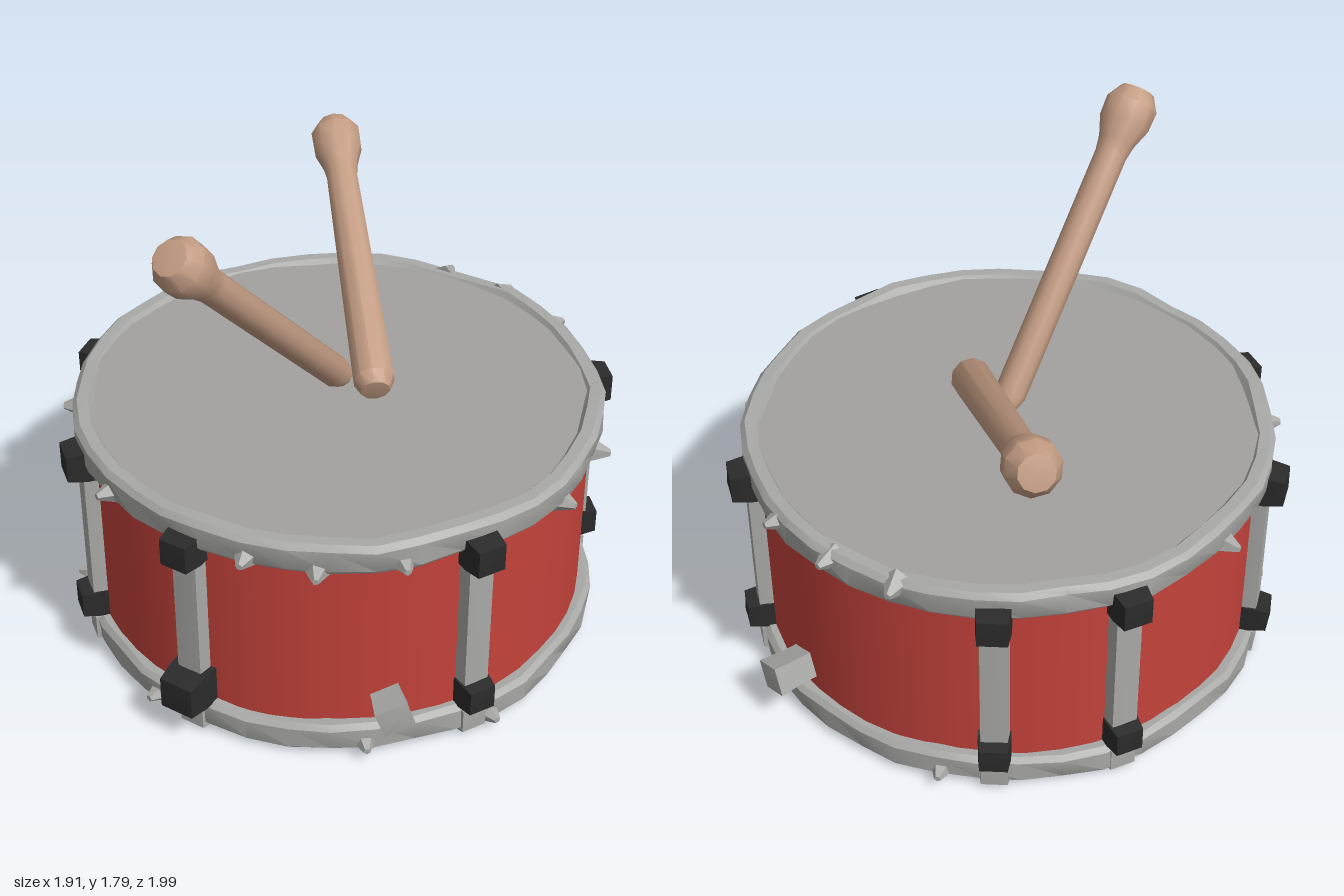
import * as THREE from 'three';
import { toCreasedNormals } from 'three/addons/utils/BufferGeometryUtils.js';

const paint = (name, color) => {
  const m = new THREE.MeshStandardMaterial({ color });
  m.name = name;
  return m;
};

export function createModel() {
  const drum = new THREE.Group();
  drum.name = 'drum';
  const red = paint('shell red', 0xc4423b);
  const metal = paint('dull metal', 0xa9a9a7);
  const skin = paint('drum skin', 0xa3a2a0);
  const black = paint('lug black', 0x2b2b2b);
  const wood = paint('pale wood', 0xc39c83);

  const add = (name, geometry, material, parent = drum) => {
    const mesh = new THREE.Mesh(geometry, material);
    mesh.name = name;
    parent.add(mesh);
    return mesh;
  };
  const lathe = (pts, sides) =>
    new THREE.LatheGeometry(pts.map(([r, y]) => new THREE.Vector2(r, y)), sides);

  // Group turned so that its local z points outwards at the given x, z direction
  const station = (name, x, z) => {
    const g = new THREE.Group();
    g.name = name;
    g.rotation.y = Math.atan2(x, z);
    drum.add(g);
    return g;
  };

  // Shell
  add('shell', new THREE.CylinderGeometry(0.875, 0.875, 0.7, 48, 1, true), red).position.y = 0.45;

  // Hand-made, slightly uneven hoop
  const hoop = (name, pts, phase) => {
    const g = lathe(pts, 40);
    const p = g.attributes.position;
    for (let i = 0; i < p.count; i++) {
      const x = p.getX(i), y = p.getY(i), z = p.getZ(i);
      const a = Math.atan2(x, z);
      const k = 1 + 0.006 * Math.sin(9 * a + phase) + 0.004 * Math.sin(17 * a + y * 30);
      p.setXYZ(i, x * k, y + 0.006 * Math.sin(7 * a + phase) + 0.004 * Math.sin(13 * a), z * k);
    }
    add(name, toCreasedNormals(g, 0.7), metal);
  };
  hoop('topHoop', [[0.86, 0.775], [0.9, 0.772], [0.915, 0.79], [0.918, 0.865], [0.9, 0.884],
    [0.862, 0.884], [0.845, 0.86]], 0.5);
  hoop('bottomHoop', [[0.845, 0.04], [0.862, 0.022], [0.9, 0.024], [0.916, 0.04], [0.918, 0.115],
    [0.9, 0.132], [0.86, 0.13]], 2);

  // Skins
  const skinGeometry = new THREE.CircleGeometry(0.865, 48);
  const topSkin = add('topSkin', skinGeometry, skin);
  topSkin.rotation.x = -Math.PI / 2;
  topSkin.position.y = 0.869;
  const bottomSkin = add('bottomSkin', skinGeometry, skin);
  bottomSkin.rotation.x = Math.PI / 2;
  bottomSkin.position.y = 0.033;

  // Faceted block, tapered towards its outer face
  const block = (w, h, d, taper) => {
    const g = new THREE.BoxGeometry(w, h, d, 2, 2, 2);
    const p = g.attributes.position;
    for (let i = 0; i < p.count; i++) {
      const k = p.getZ(i) > 0.001 ? taper : 1;
      const bulge = Math.abs(p.getX(i)) < 0.001 && Math.abs(p.getY(i)) < 0.001 ? 1.1 : 1;
      p.setXYZ(i, p.getX(i) * k, p.getY(i) * k, p.getZ(i) * bulge);
    }
    return toCreasedNormals(g, 0.3);
  };

  // Tension rods with a lug at each end
  const rods = [[0.09, 0.95], [-0.5, 0.77], [-0.9, 0.29], [-0.81, -0.5], [-0.48, -0.81],
    [0.65, -0.72], [0.88, 0.37]];
  rods.forEach(([x, z], i) => {
    const g = station('tensionRod' + (i + 1), x, z);
    add('rod', block(0.1, 0.68, 0.075, 0.9), metal, g).position.set(0, 0.45, 0.885);
    add('upperLug', block(0.115, 0.115, 0.13, 0.86), black, g).position.set(0, 0.777, 0.912);
    const size = i === 0 ? 1.3 : 1;
    add('lowerLug', block(0.11 * size, 0.105 * size, 0.12 * size, 0.86), black, g)
      .position.set(0, i === 0 ? 0.198 : 0.182, i === 0 ? 0.925 : 0.905);
    add('hoopFoot', block(0.1, 0.1, 0.06, 0.9), metal, g).position.set(0, 0.07, 0.893);
  });

  // Stray metal studs low on the shell
  [[0.69, 0.61, 0.9, 0.16], [0.33, -0.93, 0.93, 0.17]].forEach(([x, z, r, depth]) => {
    const g = station('shellStud', x, z);
    const stud = add('stud', block(0.1, 0.095, depth, 1.1), metal, g);
    stud.position.set(0, 0.21, r);
    stud.rotation.z = 0.35;
  });

  // Small chips standing out of the hoops: x, z, height
  const chips = [[-0.93, -0.08, 0.79], [0.94, -0.02, 0.78], [-0.17, -0.92, 0.85], [0.09, -0.94, 0.85],
    [-0.72, 0.56, 0.79], [0.73, 0.6, 0.8], [0.52, 0.79, 0.78], [0.3, 0.88, 0.8], [-0.28, 0.88, 0.8],
    [0.87, -0.35, 0.77], [0.63, 0.67, 0.06], [-0.72, 0.57, 0.06], [0.9, 0.3, 0.05], [0.35, -0.85, 0.84],
    [-0.07, 0.9, 0.07], [-0.3, -0.86, 0.06]];
  chips.forEach(([x, z, y], i) => {
    const g = station('hoopChip' + (i + 1), x, z);
    const chip = add('chip', toCreasedNormals(new THREE.CylinderGeometry(0.012, 0.05, 0.08, 5), 0.3), metal, g);
    chip.position.set(0, y, 0.917);
    chip.rotation.set(Math.PI / 2, i, 0);
  });

  // Drumsticks, from the butt end to the bulb
  const stick = (name, from, to, butt, neck) => {
    const a = new THREE.Vector3(...from), b = new THREE.Vector3(...to);
    const L = a.distanceTo(b);
    const g = lathe([[0, 0], [butt * 0.7, 0.005], [butt, 0.05], [neck, L - 0.25], [neck * 1.15, L - 0.2],
      [0.09, L - 0.13], [0.092, L - 0.06], [0.06, L - 0.008], [0, L]], 10);
    const mesh = add(name, toCreasedNormals(g, 0.75), wood);
    mesh.position.copy(a);
    mesh.quaternion.setFromUnitVectors(new THREE.Vector3(0, 1, 0), b.sub(a).normalize());
  };
  stick('frontStick', [0.01, 0.91, -0.01], [0.01, 1.765, 0.83], 0.056, 0.056);
  stick('backStick', [0.19, 0.945, 0.04], [-0.6, 1.41, -0.75], 0.073, 0.058);

  return drum;
}
